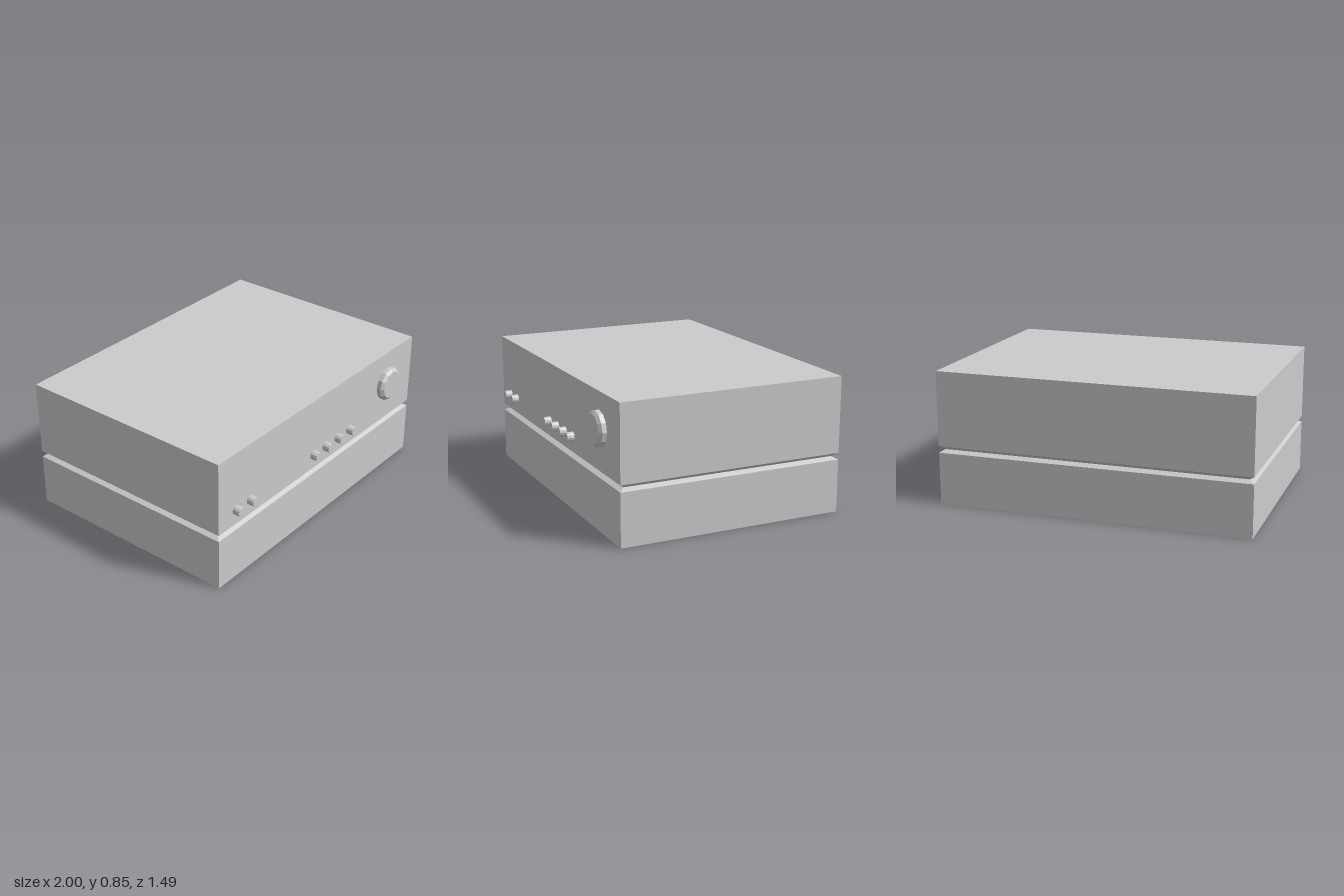
import * as THREE from 'three';

const material = new THREE.MeshStandardMaterial({ color: 0xcccccc, flatShading: true });
const FRONT = 0.7, BACK = -0.745;

// Box whose top or bottom face is pulled in by a bevel along one edge loop
function bevelledBlock(name, y0, y1, inset0, inset1) {
  const height = y1 - y0;
  const geometry = new THREE.BoxGeometry(2, height, FRONT - BACK);
  const p = geometry.attributes.position;
  for (let i = 0; i < p.count; i++) {
    const inset = p.getY(i) < 0 ? inset0 : inset1;
    p.setX(i, p.getX(i) - Math.sign(p.getX(i)) * inset);
    p.setZ(i, p.getZ(i) - Math.sign(p.getZ(i)) * inset);
  }
  geometry.computeVertexNormals();
  const mesh = new THREE.Mesh(geometry, material);
  mesh.name = name;
  mesh.position.set(0, (y0 + y1) / 2, (FRONT + BACK) / 2);
  return mesh;
}

// Round control turned from a [radius, depth] profile, facing +z
function control(name, x, y, profile, sides) {
  const points = profile.map(([r, d]) => new THREE.Vector2(r, d));
  const geometry = new THREE.LatheGeometry(points, sides).rotateX(Math.PI / 2);
  const mesh = new THREE.Mesh(geometry, material);
  mesh.name = name;
  mesh.position.set(x, y, FRONT);
  return mesh;
}

export function createModel() {
  const group = new THREE.Group();
  group.name = 'stackedAmplifier';

  // Two cabinets meeting in a V-shaped groove
  const groove = 0.35, inset = 0.034;
  group.add(
    bevelledBlock('lowerCabinet', 0, 0.333, 0, 0),
    bevelledBlock('lowerBevel', 0.333, groove, 0, inset),
    bevelledBlock('upperBevel', groove, 0.375, inset, 0),
    bevelledBlock('upperCabinet', 0.375, 0.853, 0, 0),
  );

  // Large chamfered volume knob
  group.add(control('volumeKnob', 0.71, 0.633,
    [[0.11, 0], [0.11, 0.028], [0.091, 0.045], [0, 0.045]], 12));

  // Row of small push buttons
  for (const x of [-0.845, -0.715, -0.091, 0.037, 0.167, 0.295]) {
    group.add(control('button', x, 0.475,
      [[0.03, 0], [0.03, 0.025], [0.028, 0.045], [0, 0.045]], 12));
  }
  return group;
}
